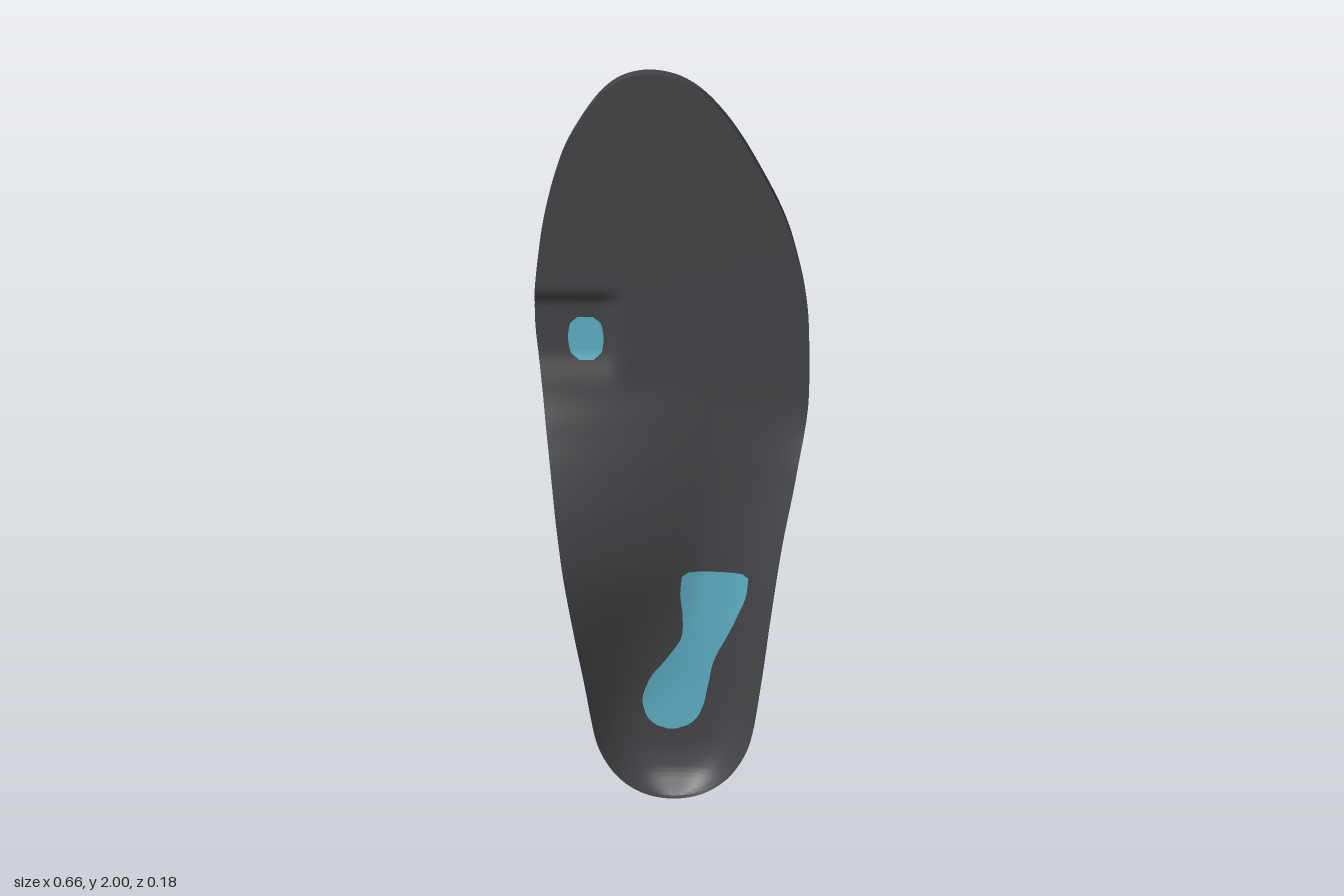
import * as THREE from 'three';
import { toCreasedNormals } from 'three/addons/utils/BufferGeometryUtils.js';

// Smooth monotone curve through [height, value] pairs, rounded at both ends of the sole
function curve(points) {
  const key = (y) => Math.acos(THREE.MathUtils.clamp(1 - y, -1, 1));
  const k = points.map((p) => key(p[0])), v = points.map((p) => p[1]);
  const n = k.length;
  const d = k.slice(1).map((_, i) => (v[i + 1] - v[i]) / (k[i + 1] - k[i]));
  const m = k.map((_, i) => {
    if (i === 0) return d[0];
    if (i === n - 1) return d[n - 2];
    return d[i - 1] * d[i] <= 0 ? 0 : (2 * d[i - 1] * d[i]) / (d[i - 1] + d[i]);
  });
  return (y) => {
    const s = key(y);
    let i = 0;
    while (i < n - 2 && s > k[i + 1]) i++;
    const h = k[i + 1] - k[i], t = THREE.MathUtils.clamp((s - k[i]) / h, 0, 1);
    const t2 = t * t, t3 = t2 * t;
    return (2 * t3 - 3 * t2 + 1) * v[i] + (t3 - 2 * t2 + t) * h * m[i]
      + (3 * t2 - 2 * t3) * v[i + 1] + (t3 - t2) * h * m[i + 1];
  };
}

const BOTTOM = -0.09, FLAT = -0.053;
const step = THREE.MathUtils.smoothstep;

// Outline, arch side (-x) and outer side (+x)
const archSide = curve([[0, 0], [0.02, -0.085], [0.1, -0.168], [0.2, -0.208], [0.4, -0.234], [0.6, -0.257],
  [0.8, -0.279], [1, -0.299], [1.2, -0.319], [1.4, -0.334], [1.6, -0.313], [1.8, -0.26], [1.9, -0.205], [1.98, -0.13], [2, -0.055]]);
const outerSide = curve([[0, 0], [0.02, 0.085], [0.1, 0.168], [0.2, 0.208], [0.4, 0.233], [0.6, 0.252],
  [0.8, 0.274], [1, 0.305], [1.2, 0.33], [1.4, 0.322], [1.6, 0.28], [1.8, 0.185], [1.9, 0.118], [1.98, 0.028], [2, -0.055]]);

// Height of the rims and of the middle of the foot bed
const archRim = curve([[0, 0.03], [0.25, 0.032], [0.4, 0.045], [0.6, 0.077], [0.75, 0.09], [0.88, 0.074],
  [1, 0.035], [1.12, -0.012], [1.25, FLAT], [2, FLAT]]);
const outerRim = curve([[0, 0.03], [0.4, 0.029], [0.6, 0.023], [0.8, 0.01], [1, -0.015], [1.2, FLAT], [2, FLAT]]);
const middle = curve([[0, 0.03], [0.02, 0.003], [0.07, -0.03], [0.15, -0.047], [0.3, -0.051], [0.5, -0.045],
  [0.75, -0.039], [1, -0.044], [1.25, FLAT], [2, FLAT]]);
const archPower = curve([[0, 5], [0.2, 4.5], [0.45, 2.4], [0.75, 1.25], [1, 1.3], [2, 1.3]]);

// How far the walls taper in towards the underside
const archTaper = curve([[0, 0.22], [0.3, 0.26], [0.75, 0.55], [1, 0.4], [1.25, 0], [2, 0]]);
const outerTaper = curve([[0, 0.22], [0.4, 0.22], [0.8, 0.18], [1.2, 0], [2, 0]]);

// Foot bed surface, with the hollow under the big toe joint
function bedHeight(x, y) {
  const l = archSide(y), r = outerSide(y), half = (r - l) / 2;
  const u = half > 1e-6 ? THREE.MathUtils.clamp((x - (l + r) / 2) / half, -1, 1) : 0;
  const m = middle(y);
  const ta = Math.max(0, (0.3 - u) / 1.3), to = Math.max(0, u);
  const hollow = 0.022 * (1 - step(x, -0.175, -0.11)) * step(y, 1.22, 1.32) * (1 - step(y, 1.435, 1.48));
  return m + (archRim(y) - m) * ta ** archPower(y) + (outerRim(y) - m) * to ** 4 - hollow;
}

// Joins rows of points into a surface
function loft(rows) {
  const n = rows[0].length, index = [];
  for (let i = 0; i < rows.length - 1; i++) {
    for (let j = 0; j < n - 1; j++) {
      const a = i * n + j, b = a + 1, c = a + n, d = c + 1;
      index.push(a, b, d, a, d, c);
    }
  }
  const geometry = new THREE.BufferGeometry();
  geometry.setAttribute('position', new THREE.Float32BufferAttribute(rows.flat(2), 3));
  geometry.setIndex(index);
  geometry.computeVertexNormals();
  return geometry;
}

// One closed cross-section: foot bed, outer wall, underside, arch wall
function section(y) {
  const BED = 64, WALL = 10, BASE = 8;
  const l = archSide(y), r = outerSide(y), c = (l + r) / 2;
  const lift = 0.06 * Math.max(0, 1 - y / 0.6) ** 2;
  const row = [];
  for (let j = 0; j <= BED; j++) {
    const x = l + ((r - l) * j) / BED;
    row.push([x, y, bedHeight(x, y)]);
  }
  const wall = (x, taper) => {
    const z = bedHeight(x, y), w = x - c;
    return new THREE.QuadraticBezierCurve3(
      new THREE.Vector3(x, y, z),
      new THREE.Vector3(c + w * (1 - 0.3 * taper), y + lift * 0.45, z + (BOTTOM - z) * 0.65),
      new THREE.Vector3(c + w * (1 - taper), y + lift, BOTTOM)
    ).getPoints(WALL).map((p) => p.toArray());
  };
  const outer = wall(r, outerTaper(y)), arch = wall(l, archTaper(y)).reverse();
  row.push(...outer.slice(1));
  const from = outer[WALL][0], to = arch[0][0];
  for (let j = 1; j < BASE; j++) row.push([from + ((to - from) * j) / BASE, y + lift, BOTTOM]);
  row.push(...arch);
  return row;
}

// Thin patch lying on the foot bed, from its centre line and half width
function patch(name, y0, y1, centre, halfWidth, material) {
  const rows = [];
  for (let i = 0; i <= 48; i++) {
    const y = y0 + ((y1 - y0) * i) / 48, row = [];
    for (let j = 0; j <= 16; j++) {
      const x = centre(y) + halfWidth(y) * (j / 8 - 1);
      row.push([x, y, bedHeight(x, y) + 0.002]);
    }
    rows.push(row);
  }
  const mesh = new THREE.Mesh(loft(rows), material);
  mesh.name = name;
  return mesh;
}

export function createModel() {
  const group = new THREE.Group();
  group.name = 'insole';
  const dark = new THREE.MeshStandardMaterial({ color: 0x444448 });
  const blue = new THREE.MeshStandardMaterial({ color: 0x5fb0c6 });

  // Body
  const rows = [];
  const COUNT = 200;
  for (let i = 0; i <= COUNT; i++) rows.push(section(1 - Math.cos((Math.PI * i) / COUNT)));
  const body = new THREE.Mesh(toCreasedNormals(loft(rows), 0.7), dark);
  body.name = 'insoleBody';
  group.add(body);

  // Heel patch running up towards the outer midfoot
  group.add(patch('heelPatch', 0.183, 0.702,
    curve([[0.183, -0.005], [0.28, 0], [0.36, 0.018], [0.43, 0.05], [0.5, 0.082], [0.6, 0.099], [0.702, 0.108]]),
    curve([[0.183, 0.012], [0.2, 0.05], [0.24, 0.075], [0.29, 0.085], [0.35, 0.081], [0.42, 0.064], [0.48, 0.058],
      [0.56, 0.07], [0.65, 0.086], [0.69, 0.086], [0.702, 0.07]]), blue));

  // Small pad in the hollow under the big toe joint
  group.add(patch('toeJointPatch', 1.29, 1.402, () => -0.213,
    curve([[1.29, 0.018], [1.31, 0.038], [1.345, 0.043], [1.382, 0.038], [1.402, 0.018]]), blue));

  return group;
}
